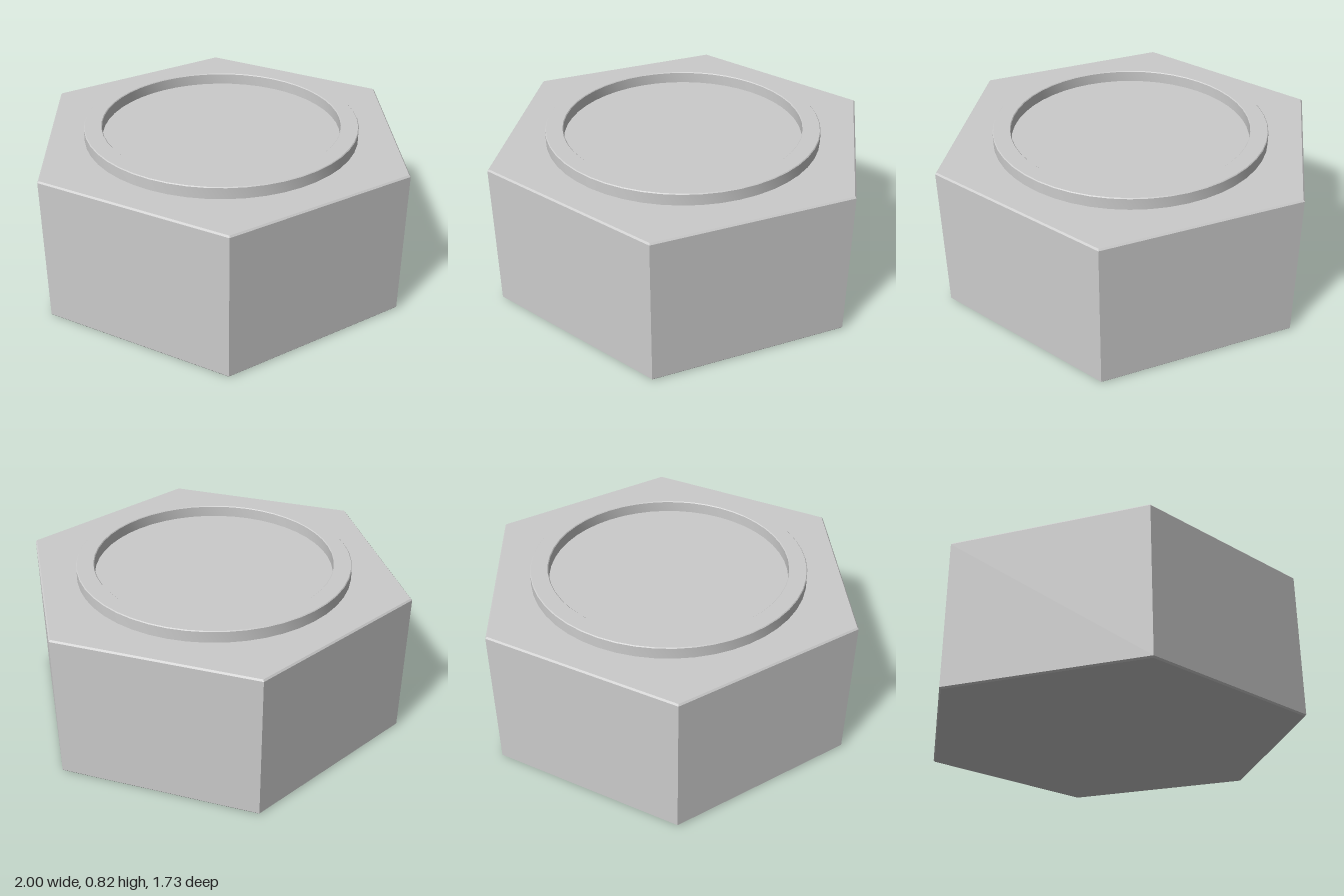
import * as THREE from 'three';
import { toCreasedNormals } from 'three/addons/utils/BufferGeometryUtils.js';

const BODY_TOP = 0.765;
const RIM_TOP = 0.825;

// Revolve a [radius, height] profile, listed bottom to top on the outside
function turned(name, profile, sides, flatShading) {
  const points = profile.map(([r, y]) => new THREE.Vector2(r, y));
  const geometry = toCreasedNormals(new THREE.LatheGeometry(points, sides, Math.PI / 2), 0.6);
  const mesh = new THREE.Mesh(geometry, new THREE.MeshStandardMaterial({ color: 0xcccccc, flatShading }));
  mesh.name = name;
  return mesh;
}

export function createModel() {
  const group = new THREE.Group();
  group.name = 'hexNut';

  // Six-sided body with finely chamfered top and bottom edges
  const c = 0.008;
  group.add(turned('hexBody', [
    [0, 0], [1 - c, 0], [1, c], [1, BODY_TOP - c], [1 - c, BODY_TOP], [0, BODY_TOP],
  ], 6, true));

  // Raised round rim around the flat centre
  const b = 0.004;
  group.add(turned('rim', [
    [0.69, BODY_TOP], [0.69, RIM_TOP - b], [0.69 - b, RIM_TOP],
    [0.6 + b, RIM_TOP], [0.6, RIM_TOP - b], [0.6, BODY_TOP],
  ], 48, false));

  return group;
}
